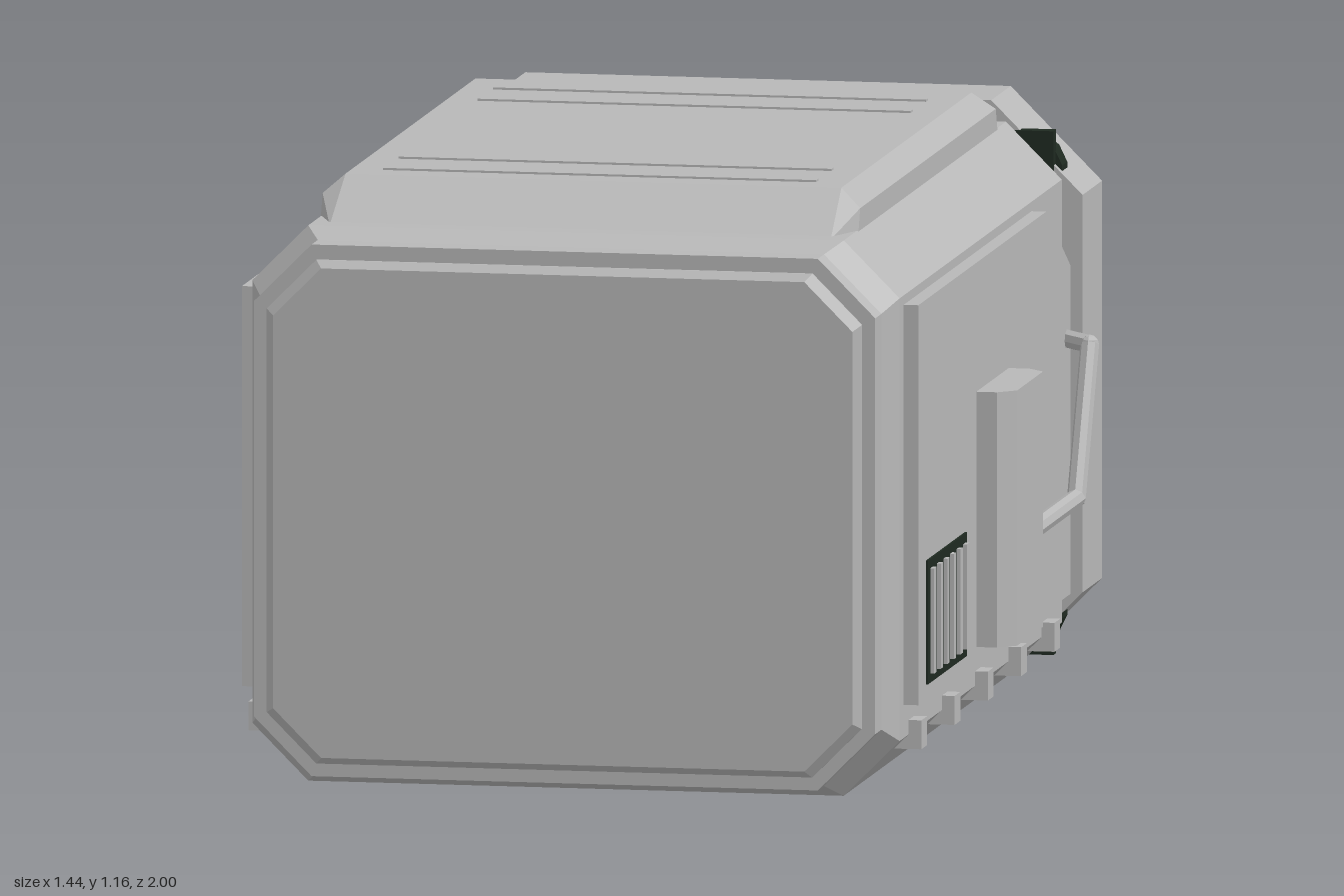
import * as THREE from 'three';
import { ConvexGeometry } from 'three/addons/geometries/ConvexGeometry.js';

const grey = new THREE.MeshStandardMaterial({ color: 0xb8b8b8, flatShading: true });
grey.name = 'grey metal';
const dark = new THREE.MeshStandardMaterial({ color: 0x1f2a21, flatShading: true });
dark.name = 'dark green';

// Chamfered rectangle, counter-clockwise: half width, bottom, top, chamfer
function octagon(w, y0, y1, c) {
  return [
    [w, y0 + c], [w, y1 - c], [w - c, y1], [c - w, y1],
    [-w, y1 - c], [-w, y0 + c], [c - w, y0], [w - c, y0],
  ];
}

// Closed solid through octagons, listed from front to back: [z, w, y0, y1, c]
function loft(sections) {
  const rings = sections.map(([z, ...o]) => octagon(...o).map(([x, y]) => [x, y, z]));
  const out = [];
  const tri = (...pts) => pts.forEach((p) => out.push(...p));
  for (let i = 0; i < rings.length - 1; i++) {
    for (let j = 0; j < 8; j++) {
      const k = (j + 1) % 8;
      const a = rings[i][j], b = rings[i][k], c = rings[i + 1][k], d = rings[i + 1][j];
      tri(a, d, b);
      tri(d, c, b);
    }
  }
  const first = rings[0], last = rings[rings.length - 1];
  for (let j = 1; j < 7; j++) {
    tri(first[0], first[j], first[j + 1]);
    tri(last[0], last[j + 1], last[j]);
  }
  const g = new THREE.BufferGeometry();
  g.setAttribute('position', new THREE.Float32BufferAttribute(out, 3));
  g.computeVertexNormals();
  return g;
}

const vectors = (pts) => pts.map(([x, y]) => new THREE.Vector2(x, y));
const extrude = (shape, depth) => new THREE.ExtrudeGeometry(shape, { depth, bevelEnabled: false });

export function createModel() {
  const model = new THREE.Group();
  model.name = 'containerModule';
  const add = (name, geometry, material, x = 0, y = 0, z = 0, parent = model) => {
    const mesh = new THREE.Mesh(geometry, material);
    mesh.name = name;
    mesh.position.set(x, y, z);
    parent.add(mesh);
    return mesh;
  };
  const box = (name, w, h, d, material, x, y, z, parent) =>
    add(name, new THREE.BoxGeometry(w, h, d), material, x, y, z, parent);

  // Main hull and raised front plate
  add('hull', loft([
    [0.98, 0.595, 0.05, 1.06, 0.11],
    [0.92, 0.595, 0.05, 1.06, 0.11],
    [0.87, 0.62, 0.025, 1.08, 0.107],
    [-0.71, 0.62, 0.025, 1.08, 0.107],
    [-0.8, 0.6, 0.045, 1.055, 0.107],
    [-0.82, 0.6, 0.045, 1.055, 0.107],
  ]), grey);
  add('frontPlate', loft([
    [1.0, 0.555, 0.088, 1.018, 0.092],
    [0.985, 0.57, 0.075, 1.032, 0.095],
    [0.975, 0.57, 0.075, 1.032, 0.095],
  ]), grey);

  // Hollow rear collar
  const collar = new THREE.Shape(vectors(octagon(0.64, 0, 1.105, 0.175)));
  collar.holes.push(new THREE.Path(vectors(octagon(0.565, 0.075, 1.03, 0.145)).reverse()));
  add('rearCollar', extrude(collar, 0.19), grey, 0, 0, -1);

  // Rear grille: square backing plate with staggered round cells
  box('grillePlate', 1.17, 0.995, 0.028, dark, 0, 0.5525, -0.819);
  const cells = new THREE.Group();
  cells.name = 'grilleCells';
  model.add(cells);
  const cell = new THREE.CylinderGeometry(0.08, 0.08, 0.05, 14);
  cell.rotateX(Math.PI / 2);
  for (let i = -4; i <= 4; i++) {
    const odd = Math.abs(i) % 2;
    for (let j = 0; j < (odd ? 5 : 6); j++) {
      const y = 0.5525 + (j - (odd ? 2 : 2.5)) * 0.165;
      add('grilleCell', cell, dark, i * 0.13, y, -0.85 - odd * 0.004, cells);
    }
  }

  // Raised roof with sloped ends and bevelled sides
  const roof = [];
  for (const s of [-1, 1]) {
    for (const [x, y, z] of [
      [0.475, 1.155, 0.7], [0.475, 1.155, -0.565],
      [0.515, 1.12, 0.72], [0.515, 1.12, -0.6],
      [0.515, 1.07, 0.74], [0.515, 1.07, -0.62],
      [0.48, 1.075, 0.83], [0.44, 1.075, -0.705],
    ]) roof.push(new THREE.Vector3(s * x, y, z));
  }
  add('roofPanel', new ConvexGeometry(roof), grey);
  for (const z of [0.63, 0.48, -0.29, -0.44]) {
    box('roofRib', 0.83, 0.008, 0.02, grey, 0, 1.155, z);
  }

  // Side fittings, the same on both sides
  const panel = extrude(new THREE.Shape(vectors([
    [-0.83, 0.195], [0.65, 0.195], [0.65, 0.82], [0.415, 0.955], [-0.83, 0.955],
  ])), 0.04);
  panel.rotateY(Math.PI / 2);

  for (const s of [-1, 1]) {
    const side = new THREE.Group();
    side.name = s > 0 ? 'leftSide' : 'rightSide';
    model.add(side);
    add('sidePanel', panel, grey, s > 0 ? 0.608 : -0.648, 0, 0, side);

    // Bevelled equipment box
    const pod = extrude(new THREE.Shape(vectors([
      [0.64, 0.05], [0.688, 0.05], [0.72, 0.018], [0.72, -0.233], [0.688, -0.265], [0.64, -0.265],
    ].map(([x, v]) => [s * x, v]))), 0.485);
    pod.rotateX(-Math.PI / 2);
    add('equipmentBox', pod, grey, 0, 0.225, 0, side);

    // Vent with upright fins
    box('ventPlate', 0.009, 0.235, 0.38, dark, s * 0.648, 0.342, 0.567, side);
    for (let i = 0; i < 6; i++) {
      box('ventFin', 0.014, 0.2, 0.022, grey, s * 0.653, 0.342, 0.405 + i * 0.064, side);
    }

    // Bent handrail
    const path = [
      [0.7, 0.408, -0.03], [0.7, 0.408, -0.445], [0.7, 0.682, -0.575], [0.645, 0.685, -0.62],
    ].map(([x, y, z]) => new THREE.Vector3(s * x, y, z));
    for (let i = 0; i < 3; i++) {
      const dir = path[i + 1].clone().sub(path[i]);
      const mid = path[i].clone().add(path[i + 1]).multiplyScalar(0.5);
      const rail = add('handrail', new THREE.CylinderGeometry(0.018, 0.018, dir.length(), 8), grey,
        mid.x, mid.y, mid.z, side);
      rail.quaternion.setFromUnitVectors(new THREE.Vector3(0, 1, 0), dir.normalize());
      if (i) add('handrailJoint', new THREE.SphereGeometry(0.018, 8, 6), grey, ...path[i].toArray(), side);
    }

    // Small lower brackets
    for (let i = 0; i < 5; i++) {
      box('lowerBracket', 0.065, 0.055, 0.055, grey, s * 0.612, 0.132, 0.755 - i * 0.324, side);
    }
  }
  return model;
}
